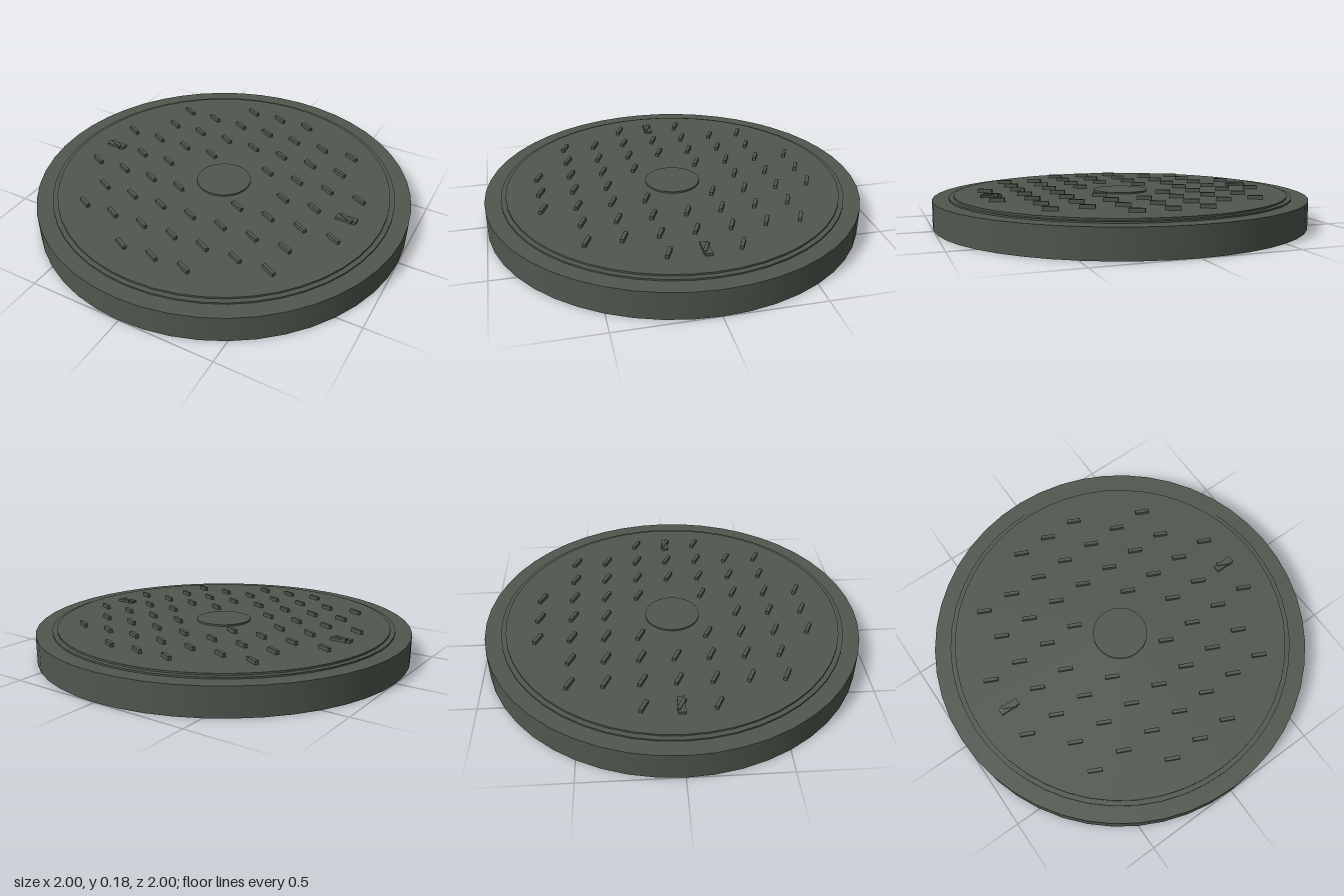
import * as THREE from 'three';

export function createModel() {
  const model = new THREE.Group();
  const castIron = new THREE.MeshStandardMaterial({ color: 0x50584f });
  castIron.name = 'cast iron';

  function add(name, geometry, x, y, z, parent = model) {
    const mesh = new THREE.Mesh(geometry, castIron);
    mesh.name = name;
    mesh.position.set(x, y, z);
    parent.add(mesh);
    return mesh;
  }

  // Round plate standing from y = bottom to y = top
  function disc(name, radius, bottom, top) {
    const height = top - bottom;
    add(name, new THREE.CylinderGeometry(radius, radius, height, 48), 0, bottom + height / 2, 0);
  }

  // Stepped cover: outer frame, rim ring, lid and centre boss
  disc('frame', 1, 0, 0.145);
  disc('rimRing', 0.915, 0.14, 0.153);
  disc('lid', 0.89, 0.148, 0.162);
  disc('centreBoss', 0.145, 0.155, 0.171);

  // Slanted grip bars on a square grid, kept between the boss and the rim
  const grips = new THREE.Group();
  grips.name = 'gripBars';
  model.add(grips);
  const spacing = 0.177;
  const barGeometry = new THREE.BoxGeometry(0.076, 0.024, 0.018);
  for (let row = -4; row <= 4; row++) {
    for (let column = -4; column <= 4; column++) {
      const x = column * spacing;
      const z = row * spacing;
      const distance = Math.hypot(x, z);
      if (distance < 0.2 || distance > 0.77) continue;
      add('gripBar', barGeometry, x, 0.169, z, grips).rotation.y = -0.45;
    }
  }

  // Lifting plates on both sides
  for (const side of [-1, 1]) {
    add('liftingPlate', new THREE.BoxGeometry(0.107, 0.014, 0.037), side * 0.708, 0.168, 0);
  }

  return model;
}
